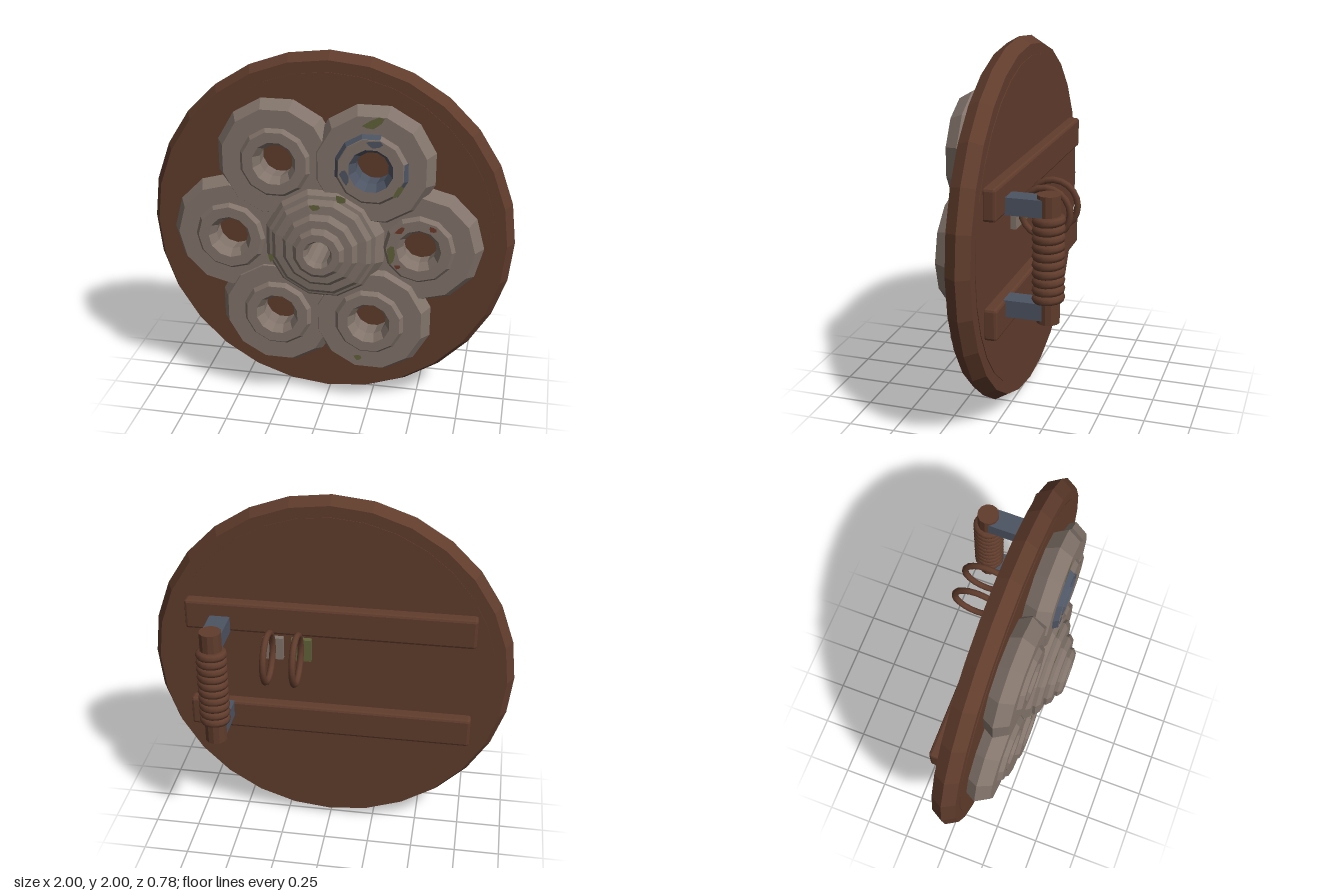
import * as THREE from 'three';
import { RoundedBoxGeometry } from 'three/addons/geometries/RoundedBoxGeometry.js';

const make = (name, color) => new THREE.MeshStandardMaterial({ name, color });

// Faceted normals
function flat(geo) {
  const g = geo.index ? geo.toNonIndexed() : geo;
  g.computeVertexNormals();
  return g;
}

// Lathe turned so its axis points along +z; profile is [radius, z]
function turned(profile, sides, start = 0, length = Math.PI * 2) {
  const pts = profile.map(([r, z]) => new THREE.Vector2(r, z));
  return flat(new THREE.LatheGeometry(pts, sides, start, length).rotateX(Math.PI / 2));
}

export function createModel() {
  const wood = make('brown wood', 0x603c2c);
  const stone = make('grey stone', 0x82746b);
  const iron = make('blue grey iron', 0x4d5463);
  const moss = make('moss green', 0x62613a);
  const rust = make('rust red', 0x6e3a2c);

  const model = new THREE.Group();
  model.name = 'roundShield';
  const add = (parent, name, geo, mat, x = 0, y = 0, z = 0) => {
    const mesh = new THREE.Mesh(geo, mat);
    mesh.name = name;
    mesh.position.set(x, y, z);
    parent.add(mesh);
    return mesh;
  };
  const group = (name, x, y, z) => {
    const g = new THREE.Group();
    g.name = name;
    g.position.set(x, y, z);
    model.add(g);
    return g;
  };

  // Irregular thin stain lying on a front face
  const stain = (parent, mat, x, y, z, w, h, turn = 0) => {
    const pts = [];
    for (let i = 0; i < 7; i++) {
      const a = (i / 7) * Math.PI * 2, r = 0.85 + 0.15 * Math.sin(i * 2.7);
      pts.push(new THREE.Vector2(Math.cos(a) * r * w / 2, Math.sin(a) * r * h / 2));
    }
    const m = add(parent, 'stain', new THREE.ShapeGeometry(new THREE.Shape(pts)), mat, x, y, z + 0.003);
    m.rotation.z = turn;
  };

  // Wooden board and hexagonal-section rim
  add(model, 'board', flat(new THREE.CylinderGeometry(0.9, 0.9, 0.137, 32).rotateX(Math.PI / 2)), wood, 0, 1, 0.035);
  add(model, 'rim', turned([[0.885, -0.03], [0.962, -0.03], [1, 0.035], [0.962, 0.1], [0.885, 0.1]], 28), wood, 0, 1, 0);

  // Six ringed bosses, slightly staggered in depth where they overlap
  const step = Math.PI / 6;
  const ringProfile = [[0.292, 0.09], [0.335, 0.165], [0.292, 0.238], [0.19, 0.238]];
  const crownProfile = [[0.2, 0.215], [0.2, 0.228], [0.174, 0.262], [0.118, 0.262]];
  const boreProfile = [[0.118, 0.262], [0.088, 0.212], [0.1, 0.09]];
  const depths = [-0.025, 0.01, 0, -0.006, 0.002, 0.008];
  const bosses = depths.map((dz, i) => {
    const a = i * Math.PI / 3;
    const boss = group('outerBoss' + (i + 1), 0.51 * Math.cos(a), 1 + 0.51 * Math.sin(a), dz);
    const phase = i % 3 === 0 ? 0 : step / 2;
    add(boss, 'ring', turned(ringProfile, 12, phase), stone);
    add(boss, 'crown', turned(crownProfile, 12, phase), stone);
    add(boss, 'bore', turned(boreProfile, 12, phase), i === 1 ? iron : stone);
    return boss;
  });

  // Stepped central boss with a hole through the middle
  const centre = [[0.335, 0.09], [0.335, 0.215], [0.295, 0.268]];
  [[0.275, 0.272, 0.308], [0.205, 0.312, 0.35], [0.14, 0.352, 0.387]].forEach(([r, z0, z1]) =>
    centre.push([r, z0], [r, z0 + 0.016], [r - 0.022, z1]));
  centre.push([0.078, 0.387], [0.062, 0.355], [0.062, 0.1]);
  const hub = group('centralBoss', 0, 1, 0);
  add(hub, 'steppedBoss', turned(centre, 12, step / 2), stone);
  stain(hub, moss, -0.03, 0.235, 0.308, 0.07, 0.04);
  stain(hub, moss, 0.1, 0.275, 0.272, 0.07, 0.05, -0.4);
  stain(hub, moss, -0.278, -0.09, 0.272, 0.035, 0.06);

  // Discoloured facets and stains on the outer bosses
  const bevel = [[0.204, 0.228], [0.178, 0.266]];
  add(bosses[1], 'ironPatch', turned(bevel, 4, step * 5.5, step * 4), iron);
  add(bosses[1], 'ironPatch', turned(bevel, 2, step * 1.5, step * 2), iron);
  stain(bosses[1], iron, 0.02, 0.147, 0.262, 0.1, 0.045);
  stain(bosses[1], iron, -0.135, -0.04, 0.262, 0.05, 0.1, 0.3);
  stain(bosses[1], moss, 0.01, 0.25, 0.238, 0.14, 0.055, 0.45);
  stain(bosses[1], moss, 0.145, -0.1, 0.238 + 0.025, 0.035, 0.1, -0.6);
  stain(bosses[0], moss, -0.145, -0.03, 0.262, 0.05, 0.13);
  stain(bosses[0], rust, -0.1, 0.11, 0.262, 0.07, 0.035, 0.7);
  stain(bosses[0], rust, 0.07, 0.13, 0.262, 0.05, 0.035, -0.5);
  stain(bosses[0], rust, -0.11, -0.1, 0.262, 0.04, 0.03);
  stain(bosses[5], moss, -0.06, -0.23, 0.238, 0.05, 0.04);

  // Back battens and iron brackets
  for (const side of [1, -1]) {
    add(model, 'batten', flat(new RoundedBoxGeometry(1.57, 0.17, 0.075, 1, 0.015)), wood, 0, 1.005 + side * 0.31, -0.06);
    add(model, 'bracket', new THREE.BoxGeometry(0.11, 0.09, 0.21), iron, 0.59, 1.005 + side * 0.27, -0.19);
  }

  // Grip with cord wrapping
  const grip = group('grip', 0.59, 1.005, -0.305);
  add(grip, 'gripRod', flat(new THREE.CylinderGeometry(0.06, 0.06, 0.67, 12)), wood);
  for (let i = 0; i < 10; i++) {
    const coil = add(grip, 'cordTurn', new THREE.TorusGeometry(0.06, 0.025, 8, 16).rotateX(Math.PI / 2), wood, 0, (i - 4.5) * 0.045, 0);
    coil.rotation.x = 0.07;
  }

  // Arm rings on small backing plates
  [[0.155, moss], [0.31, stone]].forEach(([x, mat]) => {
    add(model, 'armRing', new THREE.TorusGeometry(0.132, 0.018, 8, 20).rotateY(Math.PI / 2), wood, x, 1.15, -0.205);
    add(model, 'ringPlate', new THREE.BoxGeometry(0.11, 0.13, 0.04), mat, x, 1.125, -0.045);
  });

  return model;
}
